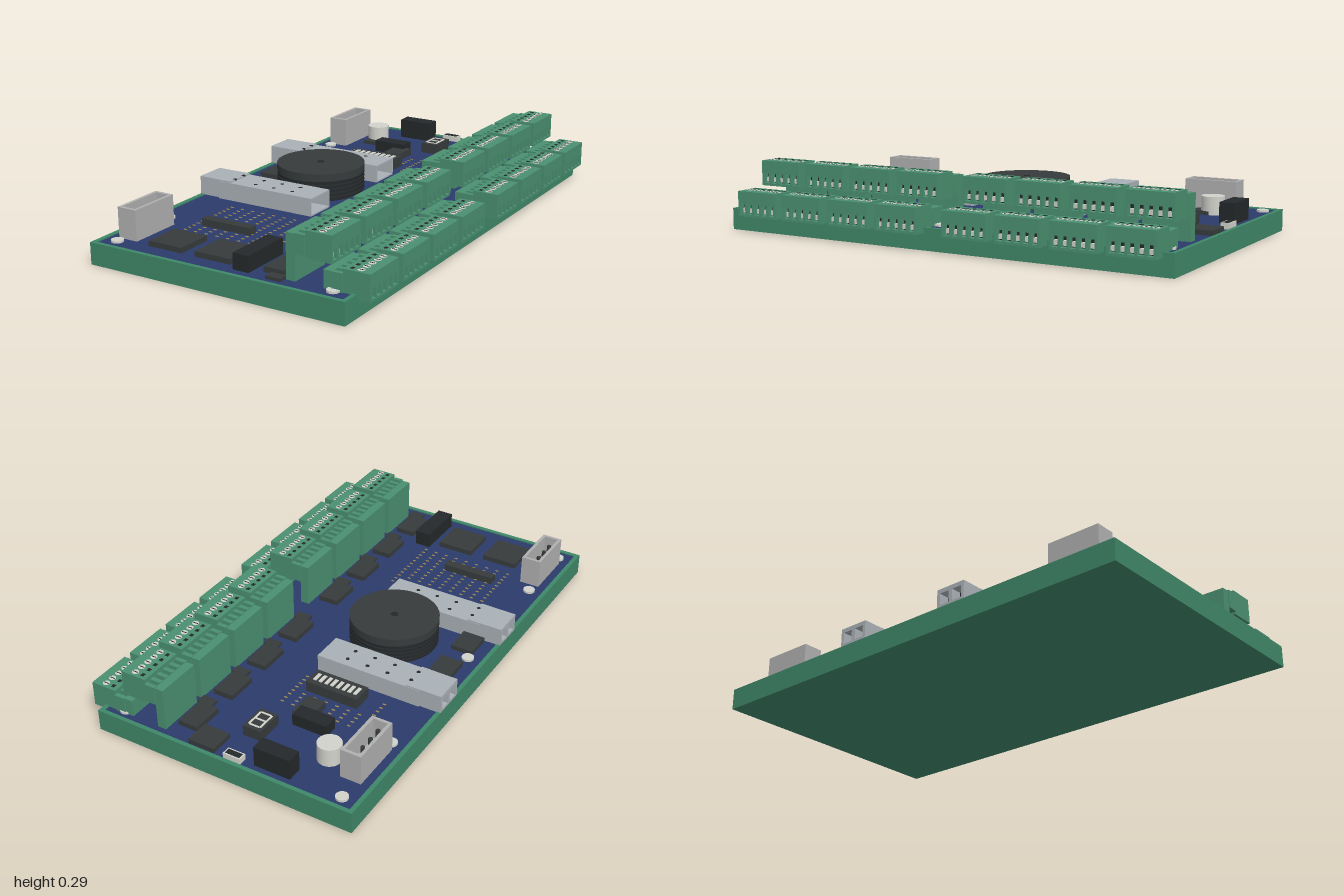
import * as THREE from 'three';

const paint = (color) => new THREE.MeshStandardMaterial({ color });
const GREEN = paint(0x4a9070), BASE = paint(0x3f8768), BLUE = paint(0x2b3a6b), CHIP = paint(0x373b3c),
  BLACK = paint(0x24282a), METAL = paint(0xaab1b6), GREY = paint(0xb0b0b0), WHITE = paint(0xd2d2cc), GOLD = paint(0xa08a50);
const TOP = 0.085; // board surface

function add(parent, name, geometry, material) {
  const mesh = new THREE.Mesh(geometry, material);
  mesh.name = name;
  parent.add(mesh);
  return mesh;
}

// Box given by its limits on each axis
function box(parent, name, mat, x0, x1, y0, y1, z0, z1) {
  const mesh = add(parent, name, new THREE.BoxGeometry(x1 - x0, y1 - y0, z1 - z0), mat);
  mesh.position.set((x0 + x1) / 2, (y0 + y1) / 2, (z0 + z1) / 2);
  return mesh;
}

// Upright cylinder
function disc(parent, name, mat, x, z, r, y0, y1, sides = 24) {
  const mesh = add(parent, name, new THREE.CylinderGeometry(r, r, y1 - y0, sides), mat);
  mesh.position.set(x, (y0 + y1) / 2, z);
  return mesh;
}

function rect(Type, x0, x1, y0, y1) {
  const p = new Type();
  p.moveTo(x0, y0);
  p.lineTo(x1, y0);
  p.lineTo(x1, y1);
  p.lineTo(x0, y1);
  p.closePath();
  return p;
}

// Rectangular plate with rectangular holes, extruded by depth
function plate(outer, holes, depth) {
  const shape = rect(THREE.Shape, ...outer);
  holes.forEach((h) => shape.holes.push(rect(THREE.Path, ...h)));
  return new THREE.ExtrudeGeometry(shape, { depth, bevelEnabled: false });
}

// Pluggable terminal: header comb, body, wire openings and screws
function terminal(parent, x, y, z) {
  const g = new THREE.Group();
  g.name = 'terminalPlug';
  g.position.set(x, y, z);
  parent.add(g);
  const half = 0.097, pitch = 0.037;
  box(g, 'headerFloor', GREEN, -0.045, 0, 0.01, 0.025, -half, half);
  for (let i = 0; i < 6; i++) {
    const c = (i - 2.5) * pitch;
    box(g, 'headerTooth', GREEN, -0.045, 0, 0.01, 0.088, c - 0.009, c + 0.009);
  }
  box(g, 'plugBody', GREEN, 0, 0.08, 0, 0.105, -half, half);
  const holes = [];
  for (let i = 0; i < 5; i++) {
    const c = (i - 2) * pitch;
    holes.push([c - 0.013, c + 0.013, 0.01, 0.052]);
    box(g, 'wireOpening', BLACK, 0.078, 0.083, 0.01, 0.052, c - 0.013, c + 0.013);
    box(g, 'wireClamp', WHITE, 0.08, 0.098, 0.016, 0.034, c - 0.008, c + 0.008);
    disc(g, 'screw', WHITE, 0.06, c, 0.014, 0.1, 0.1065, 12);
    box(g, 'screwSlot', BLACK, 0.049, 0.071, 0.1, 0.1072, c - 0.002, c + 0.002);
    box(g, 'releaseSlot', BLACK, 0.018, 0.032, 0.1, 0.1058, c - 0.008, c + 0.008);
  }
  const face = add(g, 'plugFace', plate([-half, half, 0, 0.105], holes, 0.03), GREEN);
  face.rotation.y = Math.PI / 2;
  face.position.x = 0.08;
}

// Two-level connector
function connector(parent, z) {
  const g = new THREE.Group();
  g.name = 'twoLevelConnector';
  g.position.z = z;
  parent.add(g);
  box(g, 'riser', GREEN, 0.245, 0.283, TOP, 0.264, -0.097, 0.097);
  terminal(g, 0.326, 0.18, 0);
  box(g, 'lowerHeader', GREEN, 0.4, 0.436, TOP, 0.156, -0.097, 0.097);
  terminal(g, 0.48, 0.069, 0);
}

// Metal cage with a transceiver in its outer end
function cage(parent, z) {
  const g = new THREE.Group();
  g.name = 'transceiverCage';
  g.position.z = z;
  parent.add(g);
  const shell = add(g, 'cageShell', plate([-0.07, 0.07, TOP, 0.16], [[-0.064, 0.064, TOP + 0.006, 0.154]], 0.455), METAL);
  shell.rotation.y = Math.PI / 2;
  shell.position.x = -0.5;
  const ports = [-1, 1].map((s) => [s * 0.031 - 0.022, s * 0.031 + 0.022, 0.1, 0.148]);
  const head = add(g, 'transceiver', plate([-0.067, 0.067, 0.088, 0.166], ports, 0.1), METAL);
  head.rotation.y = Math.PI / 2;
  head.position.x = -0.595;
  box(g, 'portBack', BLACK, -0.55, -0.49, 0.092, 0.152, -0.06, 0.06);
  box(g, 'cageCollar', METAL, -0.5, -0.44, 0.158, 0.166, -0.068, 0.068);
  for (let i = 0; i < 4; i++) for (const s of [-1, 1]) {
    const y = i ? 0.1608 : 0.1668;
    disc(g, 'ventHole', BLACK, -0.43 + i * 0.09 - (i ? 0 : 0.015), s * 0.03, 0.008, y - 0.004, y, 10);
  }
}

// Upright open-topped power socket with four pins
function powerSocket(parent, z) {
  const g = new THREE.Group();
  g.name = 'powerSocket';
  g.position.set(-0.498, 0, z);
  parent.add(g);
  const walls = add(g, 'socketWalls', plate([-0.043, 0.043, -0.113, 0.113], [[-0.03, 0.03, -0.1, 0.1]], 0.125), GREY);
  walls.rotation.x = -Math.PI / 2;
  walls.position.y = TOP;
  box(g, 'socketFloor', GREY, -0.035, 0.035, TOP, 0.12, -0.105, 0.105);
  for (let i = 0; i < 4; i++) disc(g, 'pin', CHIP, 0, (i - 1.5) * 0.055, 0.009, 0.1, 0.18, 10);
}

export function createModel() {
  const root = new THREE.Group();
  root.name = 'interfaceBoard';

  // Tray and inset board
  const rim = add(root, 'trayRim', plate([-0.595, 0.535, -1, 1], [[-0.577, 0.517, -0.982, 0.982]], 0.09), BASE);
  rim.rotation.x = -Math.PI / 2;
  box(root, 'trayFloor', BASE, -0.58, 0.52, 0, 0.06, -0.985, 0.985);
  box(root, 'circuitBoard', BLUE, -0.578, 0.518, 0.06, TOP, -0.983, 0.983);

  // Connectors with their driver chips
  [-0.857, -0.63, -0.4, -0.17, 0.138, 0.368, 0.597, 0.825].forEach((z) => connector(root, z));
  for (const c of [-0.838, -0.612, -0.387, -0.16, 0.16, 0.385, 0.61, 0.835]) {
    box(root, 'driverChip', CHIP, 0.135, 0.222, TOP, 0.107, c - 0.068, c + 0.068);
    box(root, 'smallChip', CHIP, 0.175, 0.24, TOP, 0.097, c + 0.078, c + 0.118);
  }

  cage(root, -0.275);
  cage(root, 0.245);
  powerSocket(root, -0.733);
  powerSocket(root, 0.782);

  // Round finned heat sink
  const sink = new THREE.Group();
  sink.name = 'heatSink';
  sink.position.set(-0.198, 0, 0);
  root.add(sink);
  disc(sink, 'sinkCore', BLACK, 0, 0, 0.16, TOP, 0.2, 48);
  for (let i = 0; i < 5; i++) disc(sink, 'sinkFin', BLACK, 0, 0, 0.183, 0.097 + i * 0.017, 0.107 + i * 0.017, 48);
  disc(sink, 'sinkCap', CHIP, 0, 0, 0.184, 0.178, 0.21, 48);
  disc(sink, 'sinkScrew', BLACK, 0, 0, 0.016, 0.2, 0.2108, 16);

  // Chips and modules: x range, z range, top height
  const parts = [
    ['relay', BLACK, -0.31, -0.155, -0.955, -0.89, 0.17],
    ['relay', BLACK, 0.026, 0.095, 0.72, 0.94, 0.15],
    ['relay', BLACK, -0.295, -0.145, -0.685, -0.62, 0.135],
    ['chip', CHIP, -0.2, -0.12, -0.645, -0.535, 0.115],
    ['chip', CHIP, -0.405, -0.32, -0.78, -0.7, 0.1],
    ['chip', CHIP, 0.01, 0.125, -0.975, -0.87, 0.105],
    ['chip', CHIP, -0.525, -0.43, -0.137, -0.02, 0.105],
    ['chip', CHIP, -0.525, -0.43, 0.06, 0.175, 0.105],
    ['largeChip', CHIP, -0.387, -0.232, 0.752, 0.908, 0.107],
    ['largeChip', CHIP, -0.17, -0.01, 0.752, 0.908, 0.107],
    ['stripConnector', CHIP, -0.355, -0.125, 0.582, 0.622, 0.115],
    ['digitDisplay', CHIP, -0.1, -0.02, -0.83, -0.71, 0.13],
    ['switchBlock', CHIP, -0.305, -0.075, -0.48, -0.39, 0.13],
    ['portFrame', WHITE, -0.11, -0.035, -0.98, -0.943, 0.11],
    ['portInside', BLACK, -0.104, -0.041, -0.974, -0.949, 0.111],
  ];
  for (const [name, mat, x0, x1, z0, z1, top] of parts) box(root, name, mat, x0, x1, TOP, top, z0, z1);
  for (let i = 0; i < 8; i++) {
    const x = -0.282 + i * 0.026;
    box(root, 'switchLever', WHITE, x - 0.007, x + 0.007, 0.12, 0.134, -0.457, -0.413);
  }

  // Display segments
  for (const z of [-0.81, -0.77, -0.73]) box(root, 'segment', WHITE, -0.083, -0.037, 0.125, 0.132, z - 0.004, z + 0.004);
  for (const x of [-0.085, -0.035]) box(root, 'segment', WHITE, x - 0.004, x + 0.004, 0.125, 0.132, -0.81, -0.73);

  disc(root, 'capacitor', WHITE, -0.37, -0.78, 0.048, TOP, 0.16, 32);

  // Mounting screws
  const spots = [[-0.52, -0.94], [-0.52, -0.59], [-0.52, 0.035], [-0.52, 0.62], [-0.52, 0.93], [0.445, -0.94], [0.445, 0.025], [0.445, 0.93]];
  spots.forEach(([x, z]) => disc(root, 'mountingScrew', WHITE, x, z, 0.025, TOP, 0.094));

  // Solder pads in two fields
  const pad = (x, z) => box(root, 'solderPad', GOLD, x - 0.007, x + 0.007, TOP - 0.002, TOP + 0.002, z - 0.003, z + 0.003);
  for (let i = 0; i < 9; i++) for (let j = 0; j < 12; j++) pad(-0.382 + i * 0.051, 0.385 + j * 0.028);
  for (let i = 0; i < 8; i++) for (let j = 0; j < 8; j++) {
    if (j < 4 || i === 0 || i === 7) pad(-0.382 + i * 0.05, -0.583 + j * 0.026);
  }
  return root;
}
